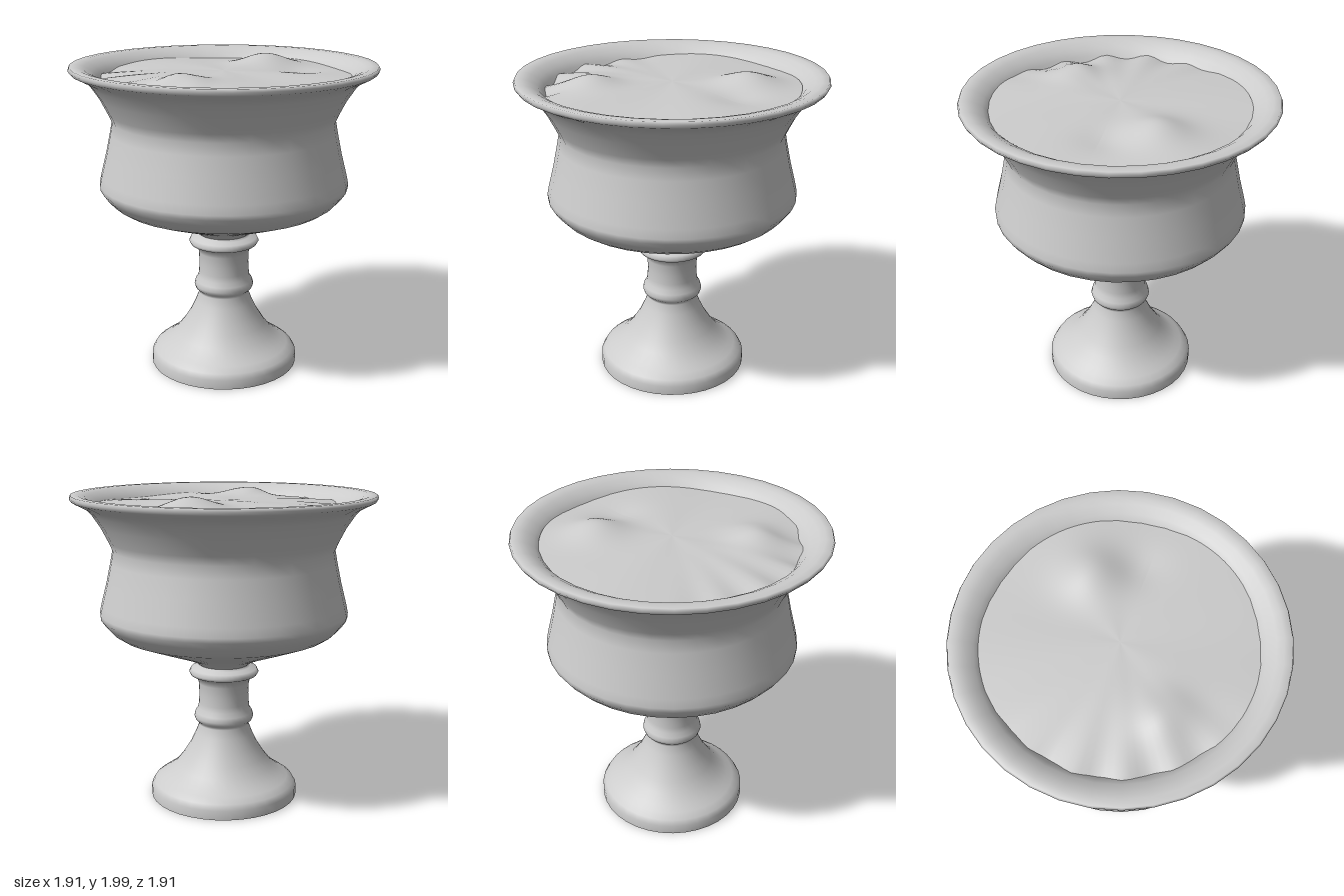
import * as THREE from 'three';

const SEGMENTS = 36;

function lathe(name, points, material) {
  const profile = points.map(([r, y]) => new THREE.Vector2(r, y));
  const mesh = new THREE.Mesh(new THREE.LatheGeometry(profile, SEGMENTS), material);
  mesh.name = name;
  return mesh;
}

// Height of the uneven soil at (x, z): a low dome, two mounds and an edge ruffled on the -x side
function soilHeight(x, z) {
  const r = Math.hypot(x, z) / 0.8;
  const angle = Math.atan2(z, -x); // 0 on the -x side
  const mound = (cx, cz, h, w) => h * Math.exp(-((x - cx) ** 2 + (z - cz) ** 2) / (w * w));
  const side = Math.exp(-(((angle - 0.3) / 0.85) ** 4));
  const ruffle = side * r ** 4 * (0.018 * Math.cos(angle * 17) - 0.03);
  const folds = 0.008 * r * Math.sin(angle * 5 + 1);
  return 1.935 - 0.025 * r * r + ruffle + folds +
    mound(0.35, -0.3, 0.062, 0.17) + mound(-0.34, 0.37, 0.062, 0.16) -
    mound(0.48, -0.04, 0.02, 0.14);
}

export function createModel() {
  const group = new THREE.Group();
  const grey = new THREE.MeshStandardMaterial({ color: 0xcccccc, side: THREE.DoubleSide });

  // Closed underside
  const underside = new THREE.Mesh(new THREE.CircleGeometry(0.48, SEGMENTS), grey);
  underside.rotation.set(Math.PI / 2, 0, Math.PI / 2);
  underside.name = 'underside';
  group.add(underside);

  // Flared foot, beaded stem and collar
  group.add(lathe('pedestal', [
    [0.48, 0], [0.48, 0.06], [0.46, 0.095], [0.42, 0.125], [0.38, 0.15], [0.32, 0.2],
    [0.27, 0.265], [0.22, 0.345], [0.185, 0.42], [0.162, 0.48], [0.168, 0.497],
    [0.185, 0.512], [0.193, 0.535], [0.186, 0.565], [0.168, 0.592], [0.163, 0.63],
    [0.16, 0.69], [0.163, 0.76], [0.175, 0.8], [0.215, 0.817], [0.225, 0.835],
    [0.213, 0.86], [0.168, 0.87], [0.16, 0.885],
  ], grey));

  // Bowl with waisted wall, rolled rim and inner lip
  group.add(lathe('bowl', [
    [0.16, 0.885], [0.2, 0.917], [0.3, 0.957], [0.45, 1.012], [0.6, 1.068], [0.67, 1.095],
    [0.715, 1.125], [0.757, 1.17], [0.785, 1.21], [0.787, 1.24], [0.775, 1.295],
    [0.74, 1.43], [0.712, 1.56], [0.698, 1.635], [0.722, 1.69], [0.77, 1.785],
    [0.82, 1.86], [0.85, 1.894], [0.9, 1.92], [0.94, 1.94], [0.953, 1.96], [0.945, 1.978],
    [0.9, 1.978], [0.86, 1.967], [0.81, 1.938], [0.78, 1.905], [0.74, 1.85], [0.7, 1.77],
  ], grey));

  // Soil filling the bowl
  const soilGeometry = new THREE.RingGeometry(0.0001, 0.785, 108, 24);
  soilGeometry.rotateX(-Math.PI / 2);
  const p = soilGeometry.attributes.position;
  for (let i = 0; i < p.count; i++) p.setY(i, soilHeight(p.getX(i), p.getZ(i)));
  soilGeometry.computeVertexNormals();
  const soil = new THREE.Mesh(soilGeometry, grey);
  soil.name = 'soil';
  group.add(soil);

  return group;
}
